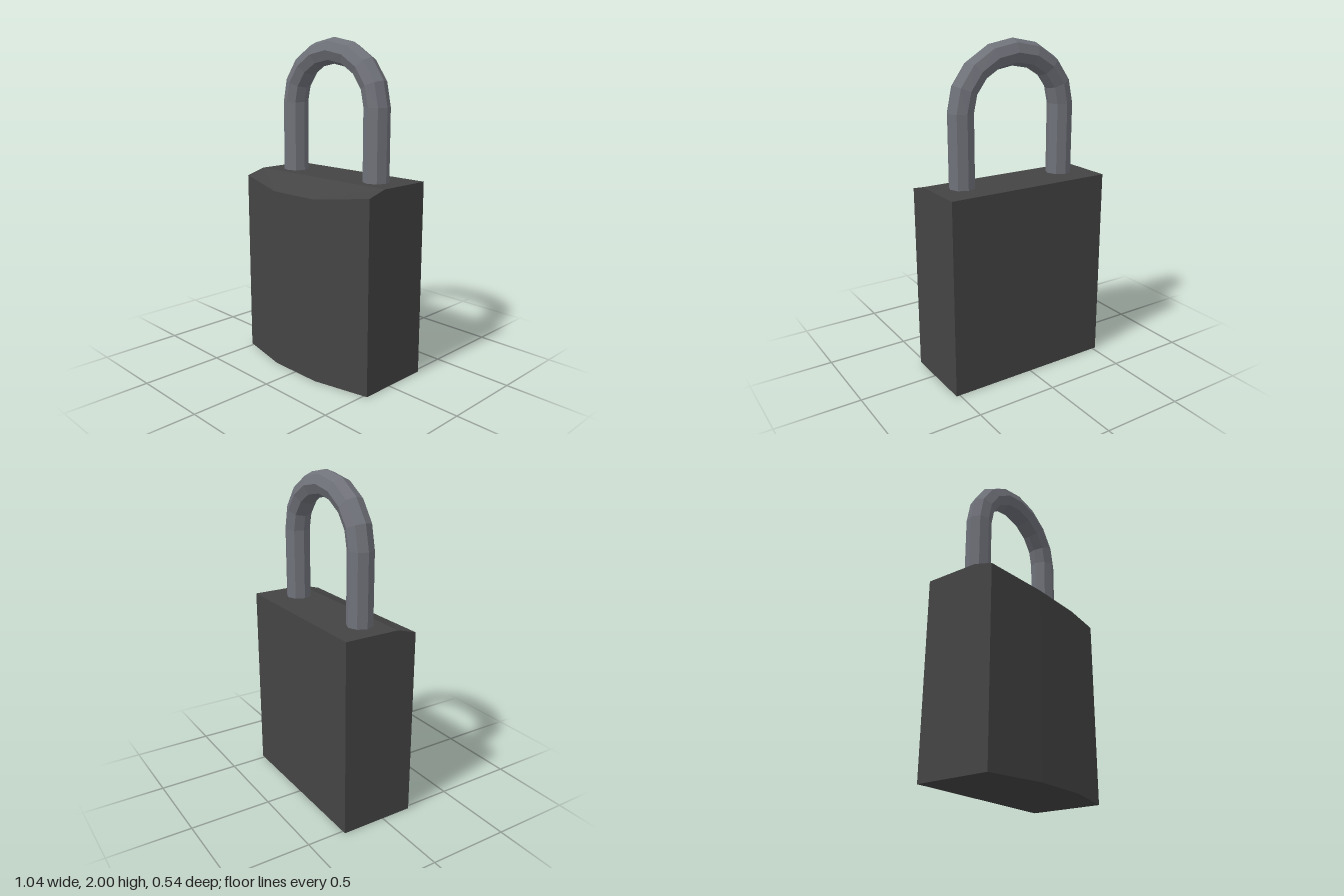
import * as THREE from 'three';

// Faceted geometry from points and triangles
function faceted(points, tris) {
  const g = new THREE.BufferGeometry();
  g.setAttribute('position', new THREE.Float32BufferAttribute(points.flat(), 3));
  g.setIndex(tris.flat());
  const flat = g.toNonIndexed();
  flat.computeVertexNormals();
  return flat;
}

// Case: bowed front outline, with the top sloping down towards the front
function bodyGeometry() {
  const half = [[-0.522, 1.183, -0.27], [-0.522, 1.183, 0.07], [-0.522, 1.148, 0.193], [-0.173, 1.103, 0.27]];
  const top = [...half, ...half.map(([x, y, z]) => [-x, y, z]).reverse()];
  const n = top.length;
  const points = [...top, ...top.map(([x, , z]) => [x, 0, z])];
  const tris = [[0, 1, 6], [0, 6, 7], [1, 2, 3], [1, 3, 4], [1, 4, 6], [4, 5, 6]];
  for (let i = 0; i < n; i++) {
    const j = (i + 1) % n;
    tris.push([n + i, n + j, j], [n + i, j, i]); // wall
    if (i !== 3 && j !== 3) tris.push([n + 3, n + j, n + i]); // underside
  }
  return faceted(points, tris);
}

// Shackle: octagonal bar swept up one leg, over a half ellipse and down
function shackleGeometry() {
  const sides = 8, steps = 8, r = 0.077, rx = 0.341, ry = 0.313, archY = 1.61, z0 = -0.06;
  const stations = [[0, 1.17]];
  for (let i = 0; i <= steps; i++) stations.push([Math.PI * i / steps, archY]);
  stations.push([Math.PI, 1.17]);
  const points = [], tris = [];
  stations.forEach(([t, y], i) => {
    for (let j = 0; j < sides; j++) {
      const a = 2 * Math.PI * j / sides, d = r * Math.cos(a);
      points.push([(rx + d) * Math.cos(t), y + (ry + d) * Math.sin(t), z0 + r * Math.sin(a)]);
      if (i === stations.length - 1) continue;
      const k = (j + 1) % sides, p = i * sides, q = p + sides;
      tris.push([p + j, q + j, q + k], [p + j, q + k, p + k]);
    }
  });
  return faceted(points, tris);
}

export function createModel() {
  const caseMat = new THREE.MeshStandardMaterial({ color: 0x444444 });
  caseMat.name = 'dark grey case';
  const steelMat = new THREE.MeshStandardMaterial({ color: 0x70727a });
  steelMat.name = 'steel grey';

  const model = new THREE.Group();
  model.name = 'padlock';
  const body = new THREE.Mesh(bodyGeometry(), caseMat);
  body.name = 'body';
  const shackle = new THREE.Mesh(shackleGeometry(), steelMat);
  shackle.name = 'shackle';
  model.add(body, shackle);
  return model;
}
